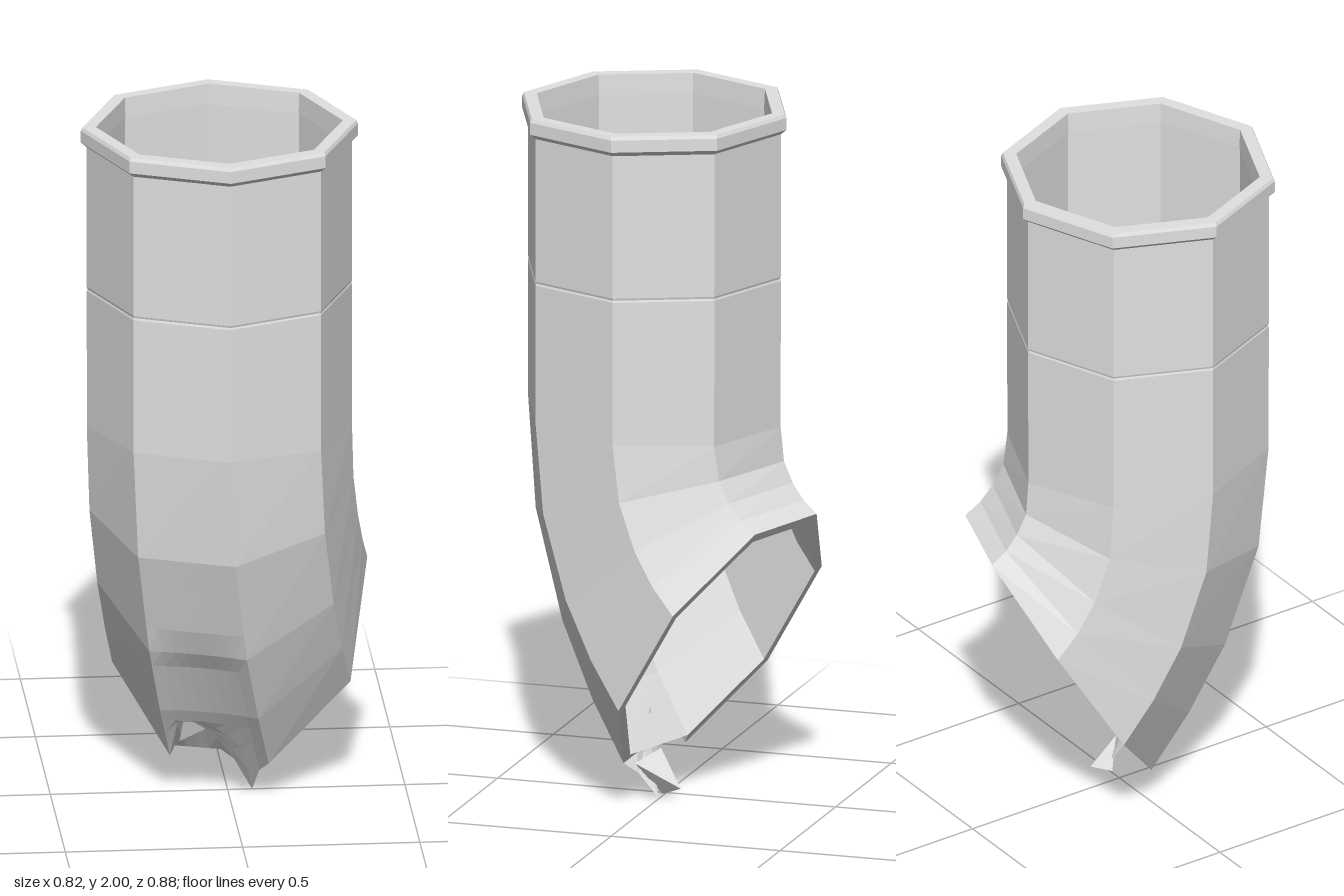
import * as THREE from 'three';

const R = 0.374, SIDES = 8;
const CENTRE = new THREE.Vector3(-0.027, 0, 0.045);
const UP = new THREE.Vector3(0, 1, 0);
const BEND = new THREE.Vector3(0.383, 0, -0.924);   // way the elbow leans
const SIDE = new THREE.Vector3(0.924, 0, 0.383);    // across the elbow
const APOTHEM = R * Math.cos(Math.PI / 8);

// Octagonal ring from its front and back [offset along BEND, height],
// turned by a twist about the pipe axis and scaled about its middle
function ring([fd, fy], [bd, by], twist = 0, s = 1) {
  return Array.from({ length: SIDES }, (_, i) => {
    const a = (i + 0.5) * Math.PI / 4;
    const t = (1 + s * Math.cos(a) / Math.cos(Math.PI / 8)) / 2;
    const p = new THREE.Vector3()
      .addScaledVector(BEND, fd + (bd - fd) * t)
      .addScaledVector(SIDE, R * s * Math.sin(a))
      .applyAxisAngle(UP, twist)
      .add(CENTRE);
    p.y = fy + (by - fy) * t;
    return p;
  });
}
const level = (y, r) => ring([-APOTHEM, y], [APOTHEM, y], 0, r / R);

// Flat geometry from quads and triangles
function facets(polys) {
  const pos = [];
  for (const [a, b, c, d] of polys) {
    for (const p of d ? [a, b, c, a, c, d] : [a, b, c]) pos.push(p.x, p.y, p.z);
  }
  const g = new THREE.BufferGeometry();
  g.setAttribute('position', new THREE.Float32BufferAttribute(pos, 3));
  g.computeVertexNormals();
  return g;
}

// Skin between successive rings, leaving out faces that skip() picks
function skin(rings, skip = () => false) {
  const polys = [];
  for (let j = 0; j < rings.length - 1; j++) {
    for (let i = 0; i < SIDES; i++) {
      if (skip(j, i)) continue;
      const k = (i + 1) % SIDES, hi = rings[j], lo = rings[j + 1];
      polys.push([lo[k], lo[i], hi[i], hi[k]]);
    }
  }
  return facets(polys);
}

export function createModel() {
  const group = new THREE.Group();
  const metal = new THREE.MeshStandardMaterial({ color: 0xe1e1e1, side: THREE.DoubleSide, flatShading: true });
  metal.name = 'paleMetal';
  const add = (name, geometry) => {
    const m = new THREE.Mesh(geometry, metal);
    m.name = name;
    group.add(m);
  };

  // Elbow stations: front, back, twist
  const stations = [
    [[-0.345, 1.12], [0.345, 1.09], 0],
    [[-0.315, 0.80], [0.355, 0.99], 0.015],
    [[-0.217, 0.49], [0.385, 0.93], 0.03],
    [[-0.110, 0.28], [0.420, 0.885], 0.045],
    [[0.000, 0.11], [0.464, 0.85], 0.06],
  ];
  const outer = stations.map(s => ring(...s));
  const inner = stations.map(s => ring(...s, 0.93));
  const FRONT = 3; // face index of the damaged front panel

  // Outer wall, with a faint groove at the joint
  const wall = [level(1.945, R), level(1.526, R), level(1.52, R - 0.002), level(1.514, R), ...outer];
  add('outerWall', skin(wall, (j, i) => i === FRONT && j >= wall.length - 4));

  // Raised collar around the top
  add('collar', skin([
    level(1.94, 0.345), level(2, 0.348), level(2, 0.386), level(1.99, 0.391), level(1.955, 0.391), level(1.94, R - 0.001),
  ]));

  // Inner wall and cut end of the pipe
  add('innerWall', skin([...inner.slice().reverse(), level(1.95, 0.347)]));
  add('cutRim', skin([outer[4], inner[4]], (j, i) => i === FRONT));

  // Dented front panel; its lower edge is torn up on one side and hangs down in a spike on the other
  const tear = [0, -0.03, -0.105, 0, 0.07, 0.11, 0.12, 0.11, 0];
  const COLS = tear.length - 1, ROWS = 4;
  const rows = [];
  for (let s = 1; s < 4; s++) {
    for (let n = s === 1 ? 0 : 1; n <= ROWS; n++) {
      const f = n / ROWS, along = (s - 1 + f) / 3;
      const depth = 0.021 * THREE.MathUtils.smoothstep(along, 0.24, 0.42);
      const ripped = THREE.MathUtils.smoothstep(along, 0.72, 1);
      rows.push(tear.map((height, c) => {
        const w = c / COLS, lift = height * ripped;
        const at = r => r[FRONT].clone().lerp(r[FRONT + 1], w);
        const p = at(outer[s]).lerp(at(outer[s + 1]), f);
        p.addScaledVector(BEND, depth * Math.sin(Math.PI * w) ** 0.8 - lift * 0.55);
        p.y += lift;
        return p;
      }));
    }
  }
  rows.push(tear.map((_, c) => inner[4][FRONT].clone().lerp(inner[4][FRONT + 1], c / COLS)));
  const panel = [];
  for (let j = 0; j < rows.length - 1; j++) {
    for (let c = 0; c < COLS; c++) {
      panel.push([rows[j + 1][c + 1], rows[j + 1][c], rows[j][c], rows[j][c + 1]]);
    }
  }
  add('dentedPanel', facets(panel));

  // Bent shards beside the tear
  const V = (x, y, z) => new THREE.Vector3(x, y, z);
  add('tornShards', facets([
    [V(0.1, 0.11, 0.06), V(0.055, 0.035, -0.06), V(0.02, 0.14, 0.01)],
    [V(0.1, 0.11, 0.06), V(0.035, 0.01, 0), V(0.055, 0.035, -0.06)],
    [V(-0.14, 0.17, 0.05), V(-0.05, 0.22, 0.07), V(-0.13, 0.25, 0.08)],
  ]));
  return group;
}
